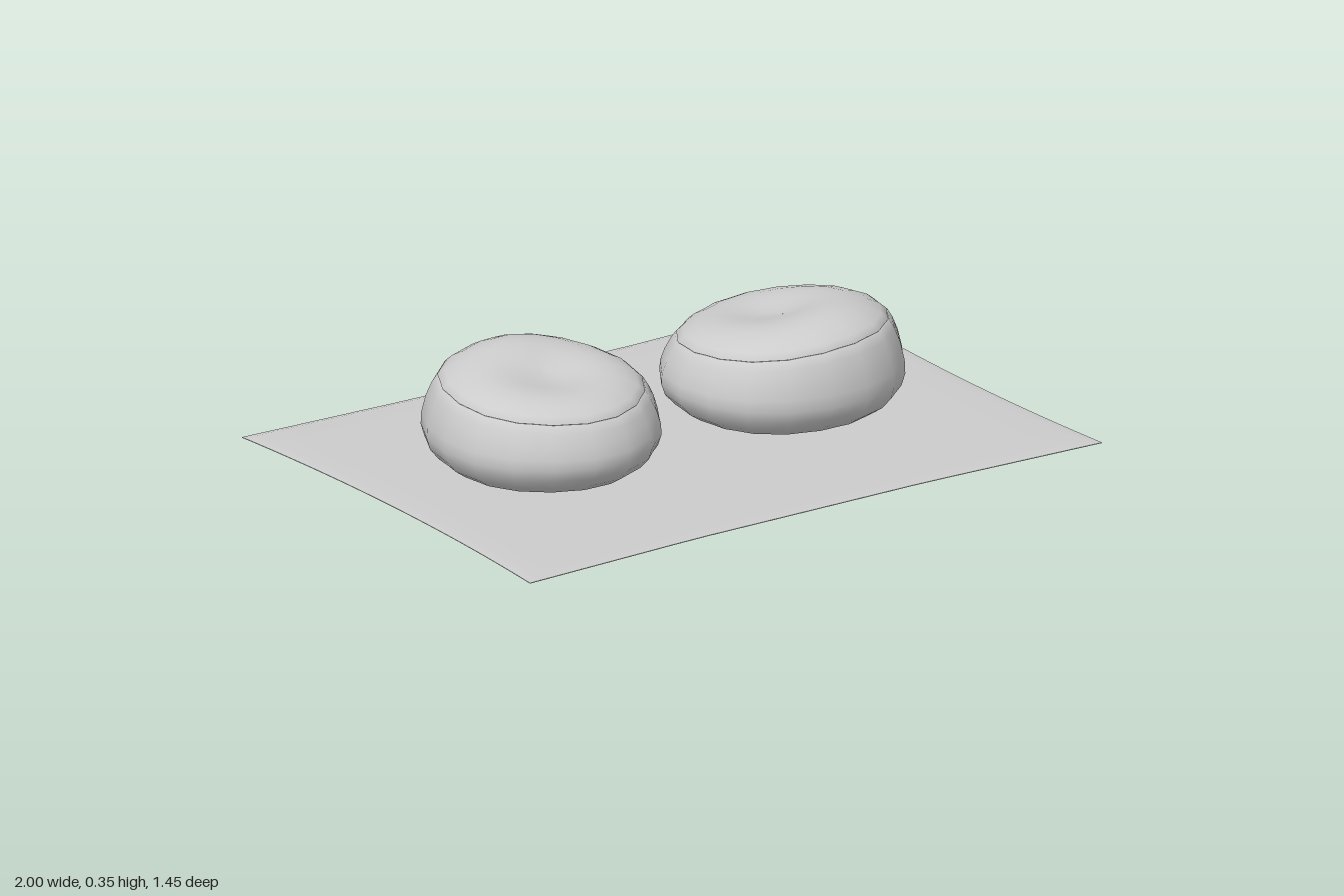
import * as THREE from 'three';

const material = new THREE.MeshStandardMaterial({ color: 0xcccccc, side: THREE.DoubleSide });
const SIDES = 36;

// Soft lobed surface from rings of [radius, height], shaped by a height rule.
function lobedSurface(name, profile, bun) {
  const pos = [], index = [];
  profile.forEach(([r, y]) => {
    for (let i = 0; i < SIDES; i++) {
      const a = (i / SIDES) * Math.PI * 2;
      const side = Math.min(1, r * 1.2);
      const lobe = 1 + side * (0.009 * Math.cos(a * 18) + 0.008 * Math.sin(a * 5 + bun.phase));
      const x = Math.cos(a) * r * lobe * bun.rx;
      const z = Math.sin(a) * r * lobe * bun.rz;
      pos.push(x, y + bun.rise(x, z) * THREE.MathUtils.smoothstep(y, 0.1, 0.27), z);
    }
  });
  for (let j = 0; j < profile.length - 1; j++) {
    for (let i = 0; i < SIDES; i++) {
      const k = (i + 1) % SIDES;
      const a = j * SIDES + i, b = j * SIDES + k, c = a + SIDES, d = b + SIDES;
      index.push(a, c, b, b, c, d);
    }
  }
  const geo = new THREE.BufferGeometry();
  geo.setAttribute('position', new THREE.Float32BufferAttribute(pos, 3));
  geo.setIndex(index);
  geo.computeVertexNormals();
  const mesh = new THREE.Mesh(geo, material);
  mesh.name = name;
  return mesh;
}

// Rounded lower body, ending in a lip tucked under the cap
const bodyProfile = [
  [0.001, 0], [0.35, 0.011], [0.68, 0.021], [0.78, 0.034], [0.88, 0.058], [0.96, 0.09],
  [0.99, 0.125], [0.985, 0.16], [0.95, 0.205], [0.905, 0.24], [0.865, 0.263], [0.83, 0.264],
];
// Domed cap with a sunken middle
const capProfile = [
  [0.835, 0.262], [0.855, 0.267], [0.8, 0.284], [0.7, 0.302], [0.58, 0.315], [0.45, 0.321],
  [0.32, 0.321], [0.2, 0.319], [0.1, 0.317], [0.001, 0.316],
];

const dent = (x, z, cx, cz, s) => Math.exp(-((x - cx) ** 2 + (z - cz) ** 2) / (s * s));

const buns = [
  {
    name: 'rightBun', x: -0.42, z: -0.05, rx: 0.34, rz: 0.36, phase: 0.6,
    rise: (x, z) => -0.06 * z + 0.025 * dent(x, z, 0, -0.13, 0.14) - 0.028 * dent(x, z, 0, 0.06, 0.14),
  },
  {
    name: 'leftBun', x: 0.415, z: -0.04, rx: 0.363, rz: 0.34, phase: 2.4,
    rise: (x, z) => 0.05 * z + 0.05 * x + 0.015 * dent(x, z, 0.06, 0.13, 0.16) - 0.03 * dent(x, z, -0.02, -0.08, 0.14),
  },
];

// Thin sheet with bowed-in edges and a narrow sloping border
function makeSheet() {
  const n = 18;
  const geo = new THREE.BoxGeometry(2, 1, 2, n, 1, n);
  const p = geo.attributes.position;
  const inner = 1 - 2 / n;
  const remap = (u) => (Math.abs(u) > inner + 0.01 ? Math.sign(u) : (u / inner) * 0.965);
  for (let i = 0; i < p.count; i++) {
    const u = remap(p.getX(i)), v = remap(p.getZ(i));
    const border = Math.max(Math.abs(u), Math.abs(v)) > 0.99;
    const bow = Math.max(0, Math.abs(u) - 0.4) / 0.6;
    const top = border ? 0.017 : 0.023;
    p.setXYZ(i, u * (0.967 + 0.033 * v * v), p.getY(i) > 0 ? top : 0.015, v * (0.698 + 0.025 * bow));
  }
  geo.computeVertexNormals();
  const mesh = new THREE.Mesh(geo, material);
  mesh.name = 'sheet';
  return mesh;
}

export function createModel() {
  const model = new THREE.Group();
  model.name = 'bunsOnSheet';
  model.add(makeSheet());
  for (const bun of buns) {
    const group = new THREE.Group();
    group.name = bun.name;
    group.position.set(bun.x, 0, bun.z);
    group.add(lobedSurface('bunBody', bodyProfile, bun), lobedSurface('bunCap', capProfile, bun));
    model.add(group);
  }
  return model;
}
